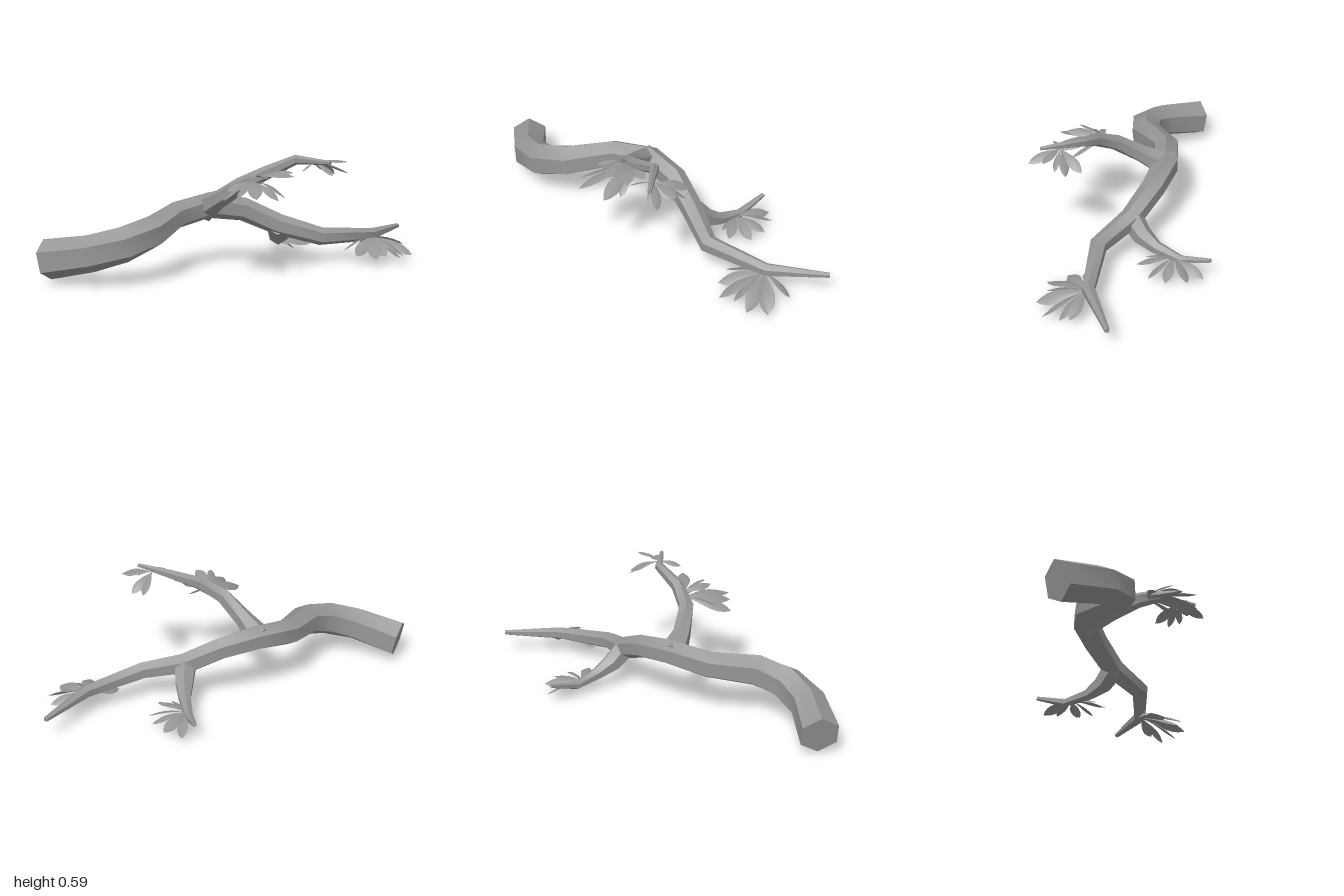
import * as THREE from 'three';
import { toCreasedNormals } from 'three/addons/utils/BufferGeometryUtils.js';

const V = (a) => new THREE.Vector3(a[0], a[1], a[2]);
const UP = new THREE.Vector3(0, 1, 0);
const SIDES = 6;

function makeGeometry(positions, index) {
  const g = new THREE.BufferGeometry();
  g.setAttribute('position', new THREE.Float32BufferAttribute(positions, 3));
  g.setIndex(index);
  return g;
}

// Tapered hexagonal limb through rings of [x, y, z, radius], capped at both ends
function limbGeometry(rings) {
  const pts = rings.map(V);
  const pos = [], idx = [];
  const last = rings.length - 1;
  pts.forEach((p, i) => {
    const t = new THREE.Vector3();
    if (i > 0) t.add(p.clone().sub(pts[i - 1]).normalize());
    if (i < last) t.add(pts[i + 1].clone().sub(p).normalize());
    t.normalize();
    const side = UP.clone().cross(t).normalize();
    const up = t.clone().cross(side);
    for (let j = 0; j < SIDES; j++) {
      const a = Math.PI / 2 + (j / SIDES) * Math.PI * 2;
      const v = p.clone()
        .addScaledVector(side, Math.cos(a) * rings[i][3])
        .addScaledVector(up, Math.sin(a) * rings[i][3]);
      pos.push(v.x, v.y, v.z);
    }
  });
  for (let i = 0; i < last; i++) {
    for (let j = 0; j < SIDES; j++) {
      const k = (j + 1) % SIDES;
      const a = i * SIDES + j, b = i * SIDES + k;
      idx.push(a, b, b + SIDES, a, b + SIDES, a + SIDES);
    }
  }
  for (let j = 1; j < SIDES - 1; j++) {
    const e = last * SIDES;
    idx.push(0, j + 1, j, e, e + j, e + j + 1);
  }
  // Smooth along the limb, sharp between its six sides
  return toCreasedNormals(makeGeometry(pos, idx), 0.75);
}

// Pointed leaf from base to tip: folded along the midrib and arched upward
function leafGeometry(base, tip, roll) {
  const N = 8;
  const dir = tip.clone().sub(base);
  const len = dir.length();
  dir.normalize();
  const side = UP.clone().cross(dir).normalize().applyAxisAngle(dir, roll);
  const up = dir.clone().cross(side);
  const half = 0.03 * Math.min(1.15, len / 0.2);
  const pos = [], idx = [];
  for (let i = 0; i <= N; i++) {
    const t = i / N;
    const w = half * Math.max(0, Math.sin(Math.PI * Math.pow(t, 1.5))) ** 0.85;
    const arch = Math.sin(Math.PI * t) * len * 0.08;
    for (const s of [-1, 0, 1]) {
      const v = base.clone().addScaledVector(dir, t * len)
        .addScaledVector(side, s * w)
        .addScaledVector(up, arch - Math.abs(s) * w * 0.3);
      pos.push(v.x, v.y, v.z);
    }
    if (i < N) {
      for (let s = 0; s < 2; s++) {
        const a = i * 3 + s;
        idx.push(a, a + 3, a + 1, a + 1, a + 3, a + 4);
      }
    }
  }
  const g = makeGeometry(pos, idx);
  g.computeVertexNormals();
  return g;
}

const LIMBS = {
  mainBranch: [
    [-0.94, 0.112, -0.045, 0.099], [-0.77, 0.16, 0.115, 0.09], [-0.62, 0.2, 0.16, 0.088],
    [-0.47, 0.24, 0.115, 0.083], [-0.3, 0.28, -0.045, 0.07], [-0.1, 0.31, -0.1, 0.066],
    [0.08, 0.28, -0.085, 0.06], [0.25, 0.2, -0.025, 0.055], [0.44, 0.145, 0.08, 0.046],
    [0.75, 0.12, 0.025, 0.033], [0.995, 0.115, -0.147, 0.013],
  ],
  upperBranch: [
    [-0.12, 0.297, -0.1, 0.072], [-0.085, 0.36, 0.02, 0.047], [-0.02, 0.445, 0.14, 0.04],
    [0.085, 0.51, 0.205, 0.034], [0.23, 0.572, 0.235, 0.024], [0.34, 0.572, 0.395, 0.01],
  ],
  rearBranch: [
    [0.25, 0.195, -0.03, 0.058], [0.28, 0.13, -0.09, 0.05], [0.308, 0.092, -0.17, 0.033],
    [0.335, 0.067, -0.3, 0.022], [0.365, 0.115, -0.455, 0.011],
  ],
};

// Each cluster: a shared base and the leaf tips fanning out of it
const CLUSTERS = {
  endLeaves: {
    base: [0.75, 0.11, 0.035],
    tips: [[0.56, 0.06, 0.09], [0.59, 0.05, 0.185], [0.66, 0.045, 0.265], [0.73, 0.05, 0.24],
      [0.82, 0.045, 0.26], [0.87, 0.005, 0.13], [0.9, 0.035, 0.2], [0.92, 0.065, 0.06]],
  },
  lowerMiddleLeaves: {
    base: [0.03, 0.468, 0.19],
    tips: [[-0.175, 0.405, 0.31], [-0.13, 0.44, 0.25], [-0.06, 0.43, 0.45], [-0.12, 0.43, 0.38],
      [0.09, 0.425, 0.435], [0.1, 0.392, 0.33]],
  },
  upperMiddleLeaves: {
    base: [0.03, 0.49, 0.19],
    tips: [[-0.03, 0.51, 0.33], [0.04, 0.505, 0.37], [0.17, 0.51, 0.36], [0.2, 0.515, 0.27]],
  },
  upperLeaves: {
    base: [0.295, 0.56, 0.31],
    tips: [[0.39, 0.505, 0.175], [0.43, 0.495, 0.24], [0.455, 0.565, 0.34], [0.41, 0.5, 0.3],
      [0.415, 0.525, 0.43], [0.35, 0.51, 0.405], [0.2, 0.535, 0.38]],
  },
  rearLeaves: {
    base: [0.34, 0.072, -0.265],
    tips: [[0.42, 0.04, -0.435], [0.49, 0.055, -0.375], [0.515, 0.05, -0.275],
      [0.5, 0.045, -0.185], [0.43, 0.015, -0.24], [0.425, 0.06, -0.105], [0.36, 0.065, -0.13]],
  },
};

export function createModel() {
  const group = new THREE.Group();
  group.name = 'treeBranch';
  const bark = new THREE.MeshStandardMaterial({ color: 0x969696 });
  const leafMaterial = new THREE.MeshStandardMaterial({ color: 0x969696, side: THREE.DoubleSide });

  // Woody limbs
  for (const [name, rings] of Object.entries(LIMBS)) {
    const limb = new THREE.Mesh(limbGeometry(rings), bark);
    limb.name = name;
    group.add(limb);
  }

  // Leaf fans, alternately rolled about their midribs
  for (const [name, { base, tips }] of Object.entries(CLUSTERS)) {
    const cluster = new THREE.Group();
    cluster.name = name;
    tips.forEach((tip, i) => {
      const leaf = new THREE.Mesh(leafGeometry(V(base), V(tip), [0.45, -0.4, 0.15][i % 3]), leafMaterial);
      leaf.name = 'leaf';
      cluster.add(leaf);
    });
    group.add(cluster);
  }
  return group;
}
